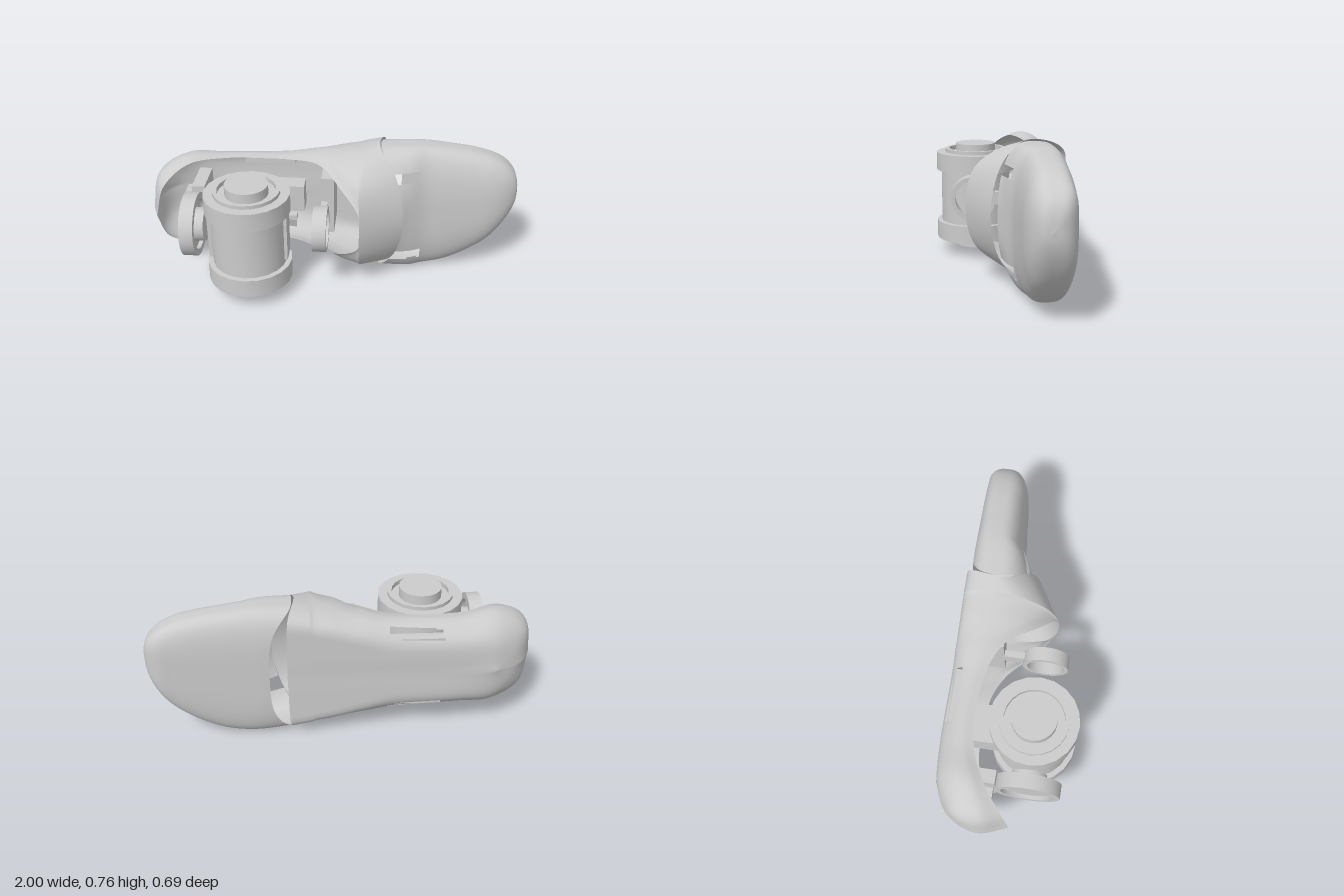
import * as THREE from 'three';
import { mergeVertices, toCreasedNormals } from 'three/addons/utils/BufferGeometryUtils.js';

const V = (x, y, z) => new THREE.Vector3(x, y, z);
const mat = new THREE.MeshStandardMaterial({ color: 0xcccccc });
const sheetMat = new THREE.MeshStandardMaterial({ color: 0xcccccc, side: THREE.DoubleSide });
const MID = 0.393; // height of the foot's centre line
const SOLE = -0.342;

function part(name, geometry, material = mat) {
  const mesh = new THREE.Mesh(geometry, material);
  mesh.name = name;
  return mesh;
}

// Smooth surface through a few cross-sections; cells for which skip(centre) is true stay open
function loft(sections, steps, skip = () => false) {
  const cols = sections[0].map((_, j) =>
    new THREE.CatmullRomCurve3(sections.map(s => s[j])).getPoints(steps));
  const n = cols.length, pos = [], index = [];
  for (let i = 0; i <= steps; i++) for (let j = 0; j < n; j++) {
    const p = cols[j][i];
    pos.push(p.x, p.y, Math.max(p.z, SOLE)); // keep the sole flat
  }
  for (let i = 0; i < steps; i++) for (let j = 0; j < n - 1; j++) {
    const mid = cols[j][i].clone().add(cols[j + 1][i + 1]).multiplyScalar(0.5);
    if (skip(mid)) continue;
    const a = i * n + j, b = a + 1, c = a + n, d = c + 1;
    index.push(a, b, c, b, d, c);
  }
  let g = new THREE.BufferGeometry();
  g.setAttribute('position', new THREE.Float32BufferAttribute(pos, 3));
  g.setIndex(index);
  g = mergeVertices(g, 1e-4);
  g.computeVertexNormals();
  return g;
}

// Turned part from [radius, height] points
function turned(profile, sides) {
  const g = new THREE.LatheGeometry(profile.map(([r, y]) => new THREE.Vector2(r, y)), sides);
  return toCreasedNormals(g, 0.6);
}

function box(name, x0, x1, y0, y1, z0, z1) {
  const m = part(name, new THREE.BoxGeometry(x1 - x0, y1 - y0, z1 - z0));
  m.position.set((x0 + x1) / 2, (y0 + y1) / 2, (z0 + z1) / 2);
  return m;
}

// Heel and instep shell: half sections from the sole centre out to the rim, mirrored
function heelShell() {
  // sole x, then x, half width, z for corner, side, shoulder and rim
  const stations = [
    [-0.78, -0.92, 0, -0.27, -0.985, 0, -0.17, -1, 0, -0.08, -0.95, 0, 0.06],
    [-0.77, -0.87, 0.1, -0.29, -0.945, 0.17, -0.2, -0.955, 0.18, -0.08, -0.91, 0.155, 0.015],
    [-0.74, -0.78, 0.17, -0.31, -0.8, 0.255, -0.22, -0.81, 0.265, -0.14, -0.79, 0.245, -0.08],
    [-0.6, -0.6, 0.17, -0.33, -0.6, 0.235, -0.27, -0.6, 0.255, -0.22, -0.6, 0.25, -0.162],
    [-0.25, -0.25, 0.18, -0.335, -0.25, 0.25, -0.28, -0.25, 0.265, -0.22, -0.25, 0.255, -0.162],
    [-0.1, -0.1, 0.22, -0.335, -0.1, 0.28, -0.27, -0.09, 0.29, -0.18, -0.08, 0.265, -0.09],
    [0.05, 0.05, 0.27, -0.33, 0.05, 0.32, -0.2, 0.04, 0.28, -0.03, 0.05, 0.2, 0.06],
    [0.14, 0.14, 0.29, -0.33, 0.14, 0.335, -0.12, 0.14, 0.235, 0.08, 0.145, 0.1, 0.15],
    [0.17, 0.16, 0.3, -0.33, 0.16, 0.335, -0.1, 0.15, 0.215, 0.11, 0.15, 0, 0.165],
    [0.28, 0.27, 0.32, -0.33, 0.24, 0.362, -0.15, 0.33, 0.25, -0.02, 0.38, 0, 0.035],
  ];
  const n = 32;
  const sections = stations.map(s => {
    const pts = [V(s[0], 0, -0.34)];
    for (let k = 1; k < 13; k += 3) pts.push(V(s[k], s[k + 1], s[k + 2]));
    // closed arches run on past the crown so that it stays round
    const arch = s[11] === 0 && s[8] > 0;
    if (arch) pts.push(V(s[7], -s[8], s[9]));
    const curve = new THREE.CatmullRomCurve3(pts), half = [];
    for (let j = 0; j <= n; j++) half.push(curve.getPoint(j / n * (arch ? 0.8 : 1)));
    const side = d => half.map(p => V(p.x, MID + d * p.y, p.z));
    return [...side(-1).reverse(), ...side(1).slice(1)];
  });
  // narrow slots low on both flanks
  const slot = p => p.x > -0.5 && p.x < -0.24 && p.z > -0.313 && p.z < -0.283
    && Math.abs(p.y - MID) > 0.1;
  const shell = new THREE.Group();
  shell.name = 'heelShell';
  shell.add(part('heelBody', loft(sections.slice(0, 9), 90, slot), sheetMat),
    part('instepCuff', loft(sections.slice(8), 8), sheetMat));
  for (const s of [-1, 1]) {
    const y = MID + s * 0.185;
    shell.add(box('slotFloor', -0.51, -0.23, y - 0.015, y + 0.015, -0.325, -0.27));
  }
  return shell;
}

// Toe cap: boxy below, rounder above, open towards the heel
function toeCap() {
  // x, low y, high y, low z, high z
  const stations = [
    [0.25, 0.015, 0.75, -0.34, 0],
    [0.42, 0, 0.755, -0.342, -0.03],
    [0.5, 0.005, 0.75, -0.342, -0.065],
    [0.62, 0.03, 0.735, -0.342, -0.082],
    [0.75, 0.095, 0.715, -0.342, -0.095],
    [0.85, 0.17, 0.687, -0.34, -0.105],
    [0.92, 0.255, 0.65, -0.335, -0.125],
    [0.97, 0.345, 0.6, -0.305, -0.155],
    [0.992, 0.41, 0.545, -0.27, -0.18],
    [1, 0.47, 0.47, -0.225, -0.225],
  ];
  const n = 96;
  const sections = stations.map(([x, y0, y1, z0, z1], k) => {
    const ring = [];
    for (let j = 0; j <= n; j++) {
      const a = (j % n) / n * Math.PI * 2, c = Math.cos(a), s = Math.sin(a);
      const e = 2 / (s > 0 ? 2.5 : 3.8);
      const pow = v => Math.sign(v) * Math.abs(v) ** e;
      ring.push(V(x + (k === 0 ? 0.12 * s * s : 0),
        (y0 + y1) / 2 + pow(c) * (y1 - y0) / 2,
        (z0 + z1) / 2 + pow(s) * (z1 - z0) / 2));
    }
    return ring;
  });
  // two notches at the rear of the upper face
  const notch = p => p.z > -0.15 && p.x > 0.3 &&
    ((p.y > 0.59 && p.y < 0.645 && p.x < 0.455) || (p.y > 0.1 && p.y < 0.17 && p.x < 0.48));
  return part('toeCap', loft(sections, 80, notch), sheetMat);
}

// Ankle barrel: stepped discs mirrored about the middle
function ankleBarrel() {
  const upper = [[0.2, 0.152], [0.228, 0.152], [0.228, 0.255], [0.177, 0.255],
    [0.177, 0.275], [0.155, 0.275], [0.155, 0.25], [0.115, 0.25], [0.115, 0.305], [0, 0.305]];
  const lower = upper.map(([r, y]) => [r, -y]).reverse();
  const m = part('ankleBarrel', turned([...lower, ...upper], 20));
  m.position.set(-0.44, 0.34, 0.115);
  return m;
}

// Wheel-like part turned about x
function crossTurned(name, profile, x, y, z) {
  const m = part(name, turned(profile, 28).rotateZ(-Math.PI / 2));
  m.position.set(x, y, z);
  return m;
}

export function createModel() {
  const group = new THREE.Group();
  group.name = 'mechanicalFoot';
  group.add(heelShell(), toeCap(), ankleBarrel());

  // ankle mount on its base, and side cheeks
  group.add(box('ankleMount', -0.55, -0.35, 0.28, 0.44, -0.23, -0.04));
  group.add(box('mountBase', -0.6, -0.18, 0.28, 0.44, -0.335, -0.23));
  group.add(box('ankleCheeks', -0.655, -0.23, 0.21, 0.49, 0.05, 0.16));

  // rear wheel with hub, carried by a plate and a peg in the heel
  group.add(crossTurned('rearWheel', [[0, -0.015], [0.135, -0.015], [0.135, -0.037],
    [0.17, -0.037], [0.17, 0.037], [0.135, 0.037], [0.135, 0.015], [0.09, 0.015],
    [0.09, 0.073], [0, 0.073]], -0.738, 0.395, 0.125));
  group.add(box('rearPlate', -0.77, -0.7, 0.27, 0.53, -0.25, -0.035));
  group.add(box('rearPeg', -0.845, -0.77, 0.365, 0.42, -0.25, -0.045));

  // front ring and its plate
  group.add(crossTurned('frontRing', [[0.098, -0.037], [0.122, -0.037], [0.122, 0.037],
    [0.098, 0.037], [0.098, -0.037]], -0.055, 0.395, 0.125));
  group.add(box('frontPlate', -0.07, 0, 0.23, 0.57, -0.32, -0.1));
  group.add(box('frontStem', -0.07, -0.035, 0.36, 0.43, -0.1, 0.02));
  return group;
}
